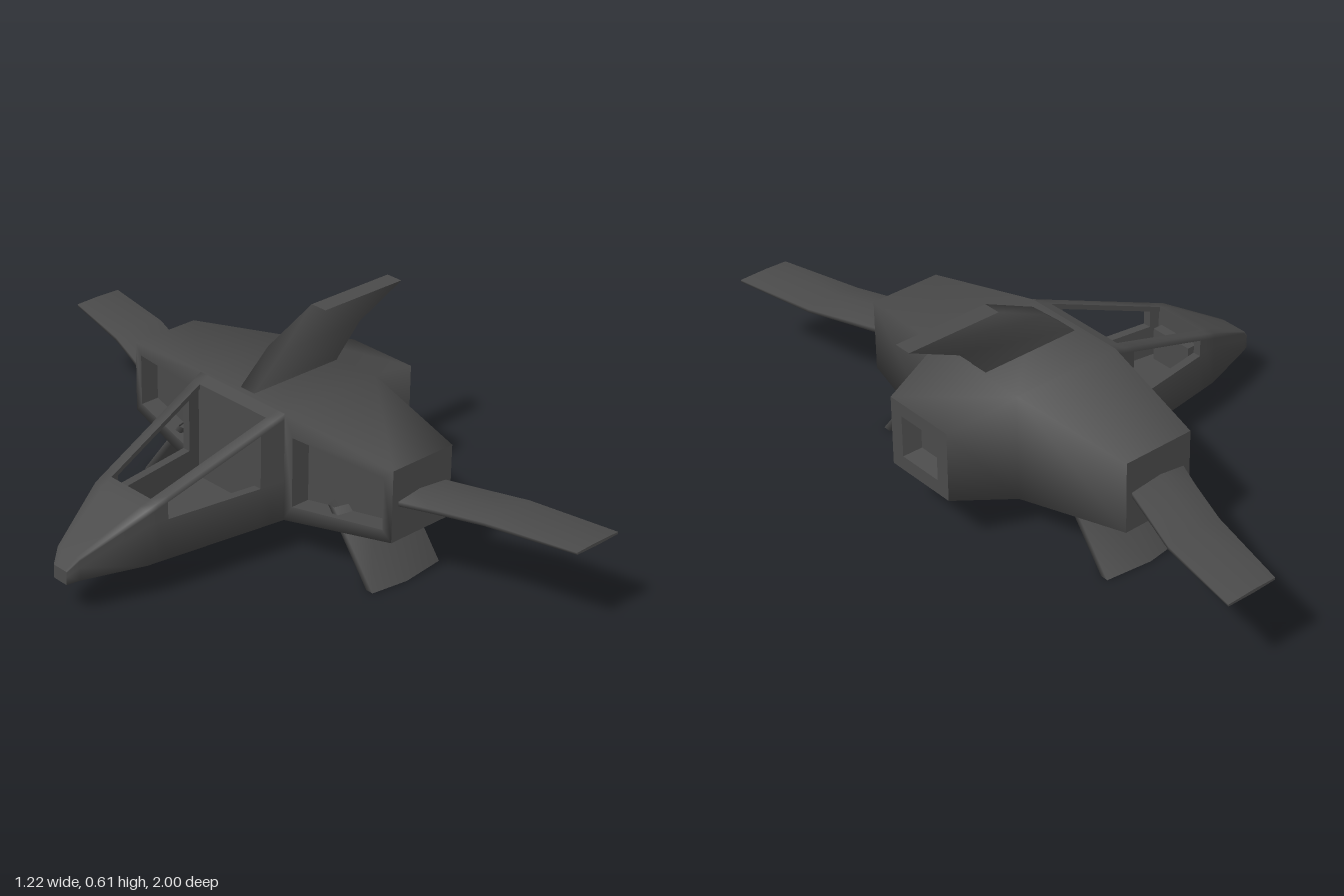
import * as THREE from 'three';
import { mergeVertices } from 'three/addons/utils/BufferGeometryUtils.js';

const darkGrey = new THREE.MeshStandardMaterial({ color: 0x4a4a4a, side: THREE.DoubleSide });

// Mesh from a list of four-cornered faces, with smooth or flat normals
function skin(name, quads, smooth = true) {
  const pos = [];
  for (const [a, b, c, d] of quads) pos.push(...a, ...b, ...c, ...a, ...c, ...d);
  let geo = new THREE.BufferGeometry();
  geo.setAttribute('position', new THREE.Float32BufferAttribute(pos, 3));
  if (smooth) geo = mergeVertices(geo, 1e-4);
  geo.computeVertexNormals();
  const mesh = new THREE.Mesh(geo, darkGrey);
  mesh.name = name;
  return mesh;
}

// Faces between successive rings; skip(station, side) leaves an opening
function loft(rings, skip = () => false) {
  const quads = [];
  for (let s = 0; s < rings.length - 1; s++) {
    const a = rings[s], b = rings[s + 1], n = a.length;
    for (let i = 0; i < n; i++) {
      const j = (i + 1) % n;
      if (!skip(s, i)) quads.push([a[i], a[j], b[j], b[i]]);
    }
  }
  return quads;
}

// Flat cap of a mirrored ring with an even number of points
function cap(r) {
  const quads = [], n = r.length;
  for (let i = 0; i < n / 2 - 1; i++) quads.push([r[i], r[i + 1], r[n - 2 - i], r[n - 1 - i]]);
  return quads;
}

const shift = (ring, dx) => ring.map(([x, y, z]) => [x + dx, y, z]);
const lerp = THREE.MathUtils.lerp;

// Nose and cockpit: stations of [x, half width, bottom, top]
function hullStation(x) {
  const key = [[-0.61, 0.026, 0.105, 0.145], [-0.58, 0.045, 0.115, 0.18],
    [-0.4, 0.105, 0.115, 0.28], [0.03, 0.168, 0.115, 0.44]];
  let k = 0;
  while (k < 2 && x > key[k + 1][0]) k++;
  const t = (x - key[k][0]) / (key[k + 1][0] - key[k][0]);
  return key[k].map((v, i) => lerp(v, key[k + 1][i], t));
}

function hullRing(x, inset = 0) {
  const [, w0, b0, t0] = hullStation(x);
  const w = w0 - inset, b = b0 + inset, t = t0 - inset * 0.6;
  const cockpit = x > -0.45;
  const sill = cockpit ? 0.235 : lerp(b0, t0, 0.6);
  const rail = cockpit ? t0 - 0.018 : lerp(b0, t0, 0.9);
  const topZ = cockpit ? w0 - 0.03 : w0 * 0.7;
  const half = [[b, w], [sill, w], [rail, w], [t, w], [t, Math.min(topZ, w)]];
  return [...half.map(([y, z]) => [x, y, -z]), ...half.reverse().map(([y, z]) => [x, y, z])];
}

function cockpit(group) {
  const xs = [-0.61, -0.58, -0.4, -0.365, -0.335, -0.045, -0.005, 0.03];
  const open = (s, i) =>
    (s === 4 && (i === 1 || i === 7)) || (s >= 3 && s <= 5 && i === 4);
  const outer = xs.map((x) => hullRing(x));
  group.add(skin('noseHull', loft(outer, open)));
  group.add(skin('noseTip', cap(outer[0]), false));

  // Inner lining with its front and rear bulkheads
  const inner = xs.slice(3, 7).map((x) => hullRing(x, 0.025));
  group.add(skin('cockpitLining', [
    ...loft(inner, (s, i) => open(s + 3, i)), ...cap(inner[0]), ...cap(inner[3])], false));

  // Rims that give the openings their thickness
  const rims = [];
  for (let s = 0; s < 3; s++) {
    for (const i of s === 1 ? [1, 2, 4, 5, 7, 8] : [4, 5]) {
      rims.push([outer[s + 3][i], outer[s + 4][i], inner[s + 1][i], inner[s][i]]);
    }
  }
  for (const [s, i] of [[1, 1], [1, 7], [2, 1], [2, 7], [0, 4], [3, 4]]) {
    rims.push([outer[s + 3][i], outer[s + 3][i + 1], inner[s][i + 1], inner[s][i]]);
  }
  group.add(skin('windowRims', rims, false));

  const panel = new THREE.Mesh(new THREE.BoxGeometry(0.03, 0.1, 0.14), darkGrey);
  panel.name = 'instrumentPanel';
  panel.position.set(-0.347, 0.19, 0);
  group.add(panel);
}

// Rectangle in the x-y plane, and in the z-y plane
const rectZ = (z, x0, x1, y0, y1) => [[x0, y0, z], [x0, y1, z], [x1, y1, z], [x1, y0, z]];
const rectX = (x, w, y0, y1) => [[x, y0, w], [x, y1, w], [x, y1, -w], [x, y0, -w]];

// Middle body with side pods, intakes and tail
function body(group) {
  const root = (z) => rectZ(z, 0.03, 0.37, 0.115, 0.44);
  const tip = (z) => rectZ(z, 0.09, 0.31, 0.17, 0.385);
  const rings = [tip(-0.517), root(-0.166), root(0.166), tip(0.517)];
  // Open at the intakes (side 0) and where the tail joins (side 2)
  const quads = loft(rings, (s, i) => i === 0 || (s === 1 && i === 2));

  for (const m of [-1, 1]) {
    const face = [[0.03, 0.115, m * 0.166], [0.03, 0.44, m * 0.166],
      [0.09, 0.385, m * 0.517], [0.09, 0.17, m * 0.517]];
    const mouth = [[0.035, 0.165, m * 0.195], [0.035, 0.375, m * 0.195],
      [0.085, 0.355, m * 0.488], [0.085, 0.2, m * 0.488]];
    const frame = loft([face, mouth]);
    quads.push(...(m > 0 ? frame.map((q) => q.reverse()) : frame));
    const floor = shift(mouth, 0.06);
    group.add(skin('intake', [...loft([mouth, floor]), floor], false));
    group.add(skin('podEnd', [tip(m * 0.517)], false));
  }

  const tailRoot = rectX(0.37, 0.166, 0.115, 0.44);
  const tailEnd = rectX(0.565, 0.115, 0.175, 0.385);
  quads.push(...loft([tailRoot, tailEnd]).map((q) => q.reverse()));
  group.add(skin('body', orient(quads)));

  const nozzle = rectX(0.565, 0.072, 0.218, 0.345);
  const depth = shift(rectX(0.565, 0.055, 0.232, 0.33), -0.05);
  group.add(skin('tailFace', loft([tailEnd, nozzle]), false));
  group.add(skin('exhaust', [...loft([nozzle, depth]), depth], false));
}

// Turn every face outward from the middle of the body
function orient(quads) {
  const centre = new THREE.Vector3(0.2, 0.28, 0);
  return quads.map((q) => {
    const [a, b, c] = q.map((p) => new THREE.Vector3(...p));
    const normal = b.clone().sub(a).cross(c.clone().sub(a));
    return normal.dot(a.sub(centre)) < 0 ? [...q].reverse() : q;
  });
}

// Six-sided blade section: thin edges, thick middle
function blade(x0, x1, half, edge, place) {
  const xm = lerp(x0, x1, 0.45);
  return [[x0, -edge], [xm, -half], [x1, -edge], [x1, edge], [xm, half], [x0, edge]]
    .map(([x, t]) => place(x, t));
}

export function createModel() {
  const group = new THREE.Group();
  group.name = 'aircraft';
  cockpit(group);
  body(group);

  // Swept wings and slanted landing fins on both sides
  for (const m of [-1, 1]) {
    const wing = [[0.5, 0.105, 0.285, 0.018, 0.007], [0.6, 0.147, 0.322, 0.018, 0.006],
      [0.74, 0.2, 0.375, 0.015, 0.005], [1, 0.265, 0.423, 0.005, 0.003]]
      .map(([z, x0, x1, h, e]) => blade(x0, x1, h, e, (x, t) => [x, 0.28 + t, m * z]));
    group.add(skin('wing', loft(wing)), skin('wingTip', cap(wing[3]), false));

    const leg = [[0.2, 0.305, 0.042], [0, 0.457, 0.028]]
      .map(([y, z, h]) => blade(0.075, 0.33, h, 0.012, (x, t) => [x, y, m * (z + t)]));
    group.add(skin('landingFin', loft(leg)), skin('landingFinFoot', cap(leg[1]), false));
  }

  // Upright tail fin
  const fin = [[0.42, 0.03, 0.345], [0.45, 0.06, 0.367], [0.53, 0.15, 0.445], [0.605, 0.312, 0.606]]
    .map(([y, x0, x1]) => [[x0, y, -0.027], [x1, y, -0.027], [x1, y, 0.027], [x0, y, 0.027]]);
  group.add(skin('tailFin', loft(fin)), skin('tailFinTop', [fin[3]], false));
  return group;
}
